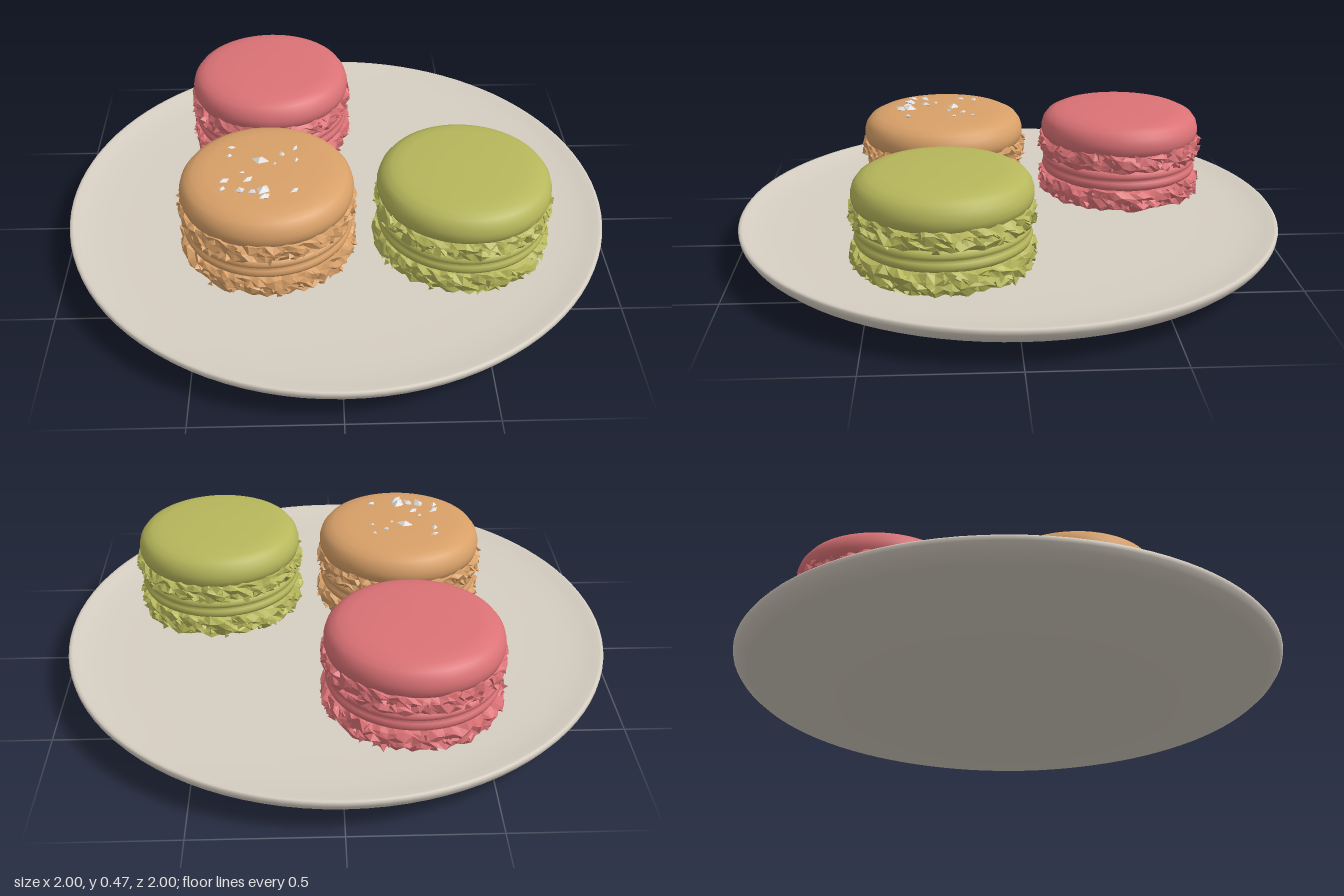
import * as THREE from 'three';
import { mergeGeometries } from 'three/addons/utils/BufferGeometryUtils.js';

const material = (name, color) => {
  const m = new THREE.MeshStandardMaterial({ color });
  m.name = name;
  return m;
};

// Repeatable pseudo-random value in 0..1
const hash = (a, b, c) => {
  const s = Math.sin(a * 127.1 + b * 311.7 + c * 74.7) * 43758.5453;
  return s - Math.floor(s);
};

const lathe = (points, segments) =>
  new THREE.LatheGeometry(points.map(([r, y]) => new THREE.Vector2(r, y)), segments);

// Faceted normals
const faceted = (geometry) => {
  const g = geometry.index ? geometry.toNonIndexed() : geometry;
  g.computeVertexNormals();
  return g;
};

function addMesh(parent, name, geometry, mat) {
  const mesh = new THREE.Mesh(geometry, mat);
  mesh.name = name;
  parent.add(mesh);
  return mesh;
}

// Ragged ring: a lathed band with shaken vertices plus loose crumbs
function ruffleGeometry(y0, y1, seed) {
  const n = 72, h = y1 - y0;
  const profile = [[0.27, y0], [0.298, y0 + h * 0.08], [0.31, y0 + h * 0.3], [0.308, y0 + h * 0.5],
    [0.311, y0 + h * 0.72], [0.302, y0 + h * 0.93], [0.27, y1]];
  const ring = lathe(profile, n);
  const p = ring.attributes.position, rows = profile.length;
  for (let k = 0; k < p.count; k++) {
    const i = Math.floor(k / rows) % n, j = k % rows;
    if (j === 0 || j === rows - 1) continue;
    const s = 1 + (hash(i, j, seed) - 0.5) * 0.07;
    p.setXYZ(k, p.getX(k) * s, p.getY(k) + (hash(i, j, seed + 9) - 0.5) * h * 0.25, p.getZ(k) * s);
  }
  const parts = [faceted(ring)];
  for (let i = 0; i < 70; i++) {
    const a = (i + hash(i, 1, seed)) / 70 * Math.PI * 2;
    const crumb = new THREE.TetrahedronGeometry(0.011 + 0.01 * hash(i, 2, seed));
    crumb.rotateX(hash(i, 3, seed) * 6).rotateY(hash(i, 4, seed) * 6);
    const r = 0.303 + 0.008 * hash(i, 5, seed);
    crumb.translate(Math.sin(a) * r, y0 + h * (0.15 + 0.7 * hash(i, 6, seed)), Math.cos(a) * r);
    parts.push(faceted(crumb));
  }
  return mergeGeometries(parts);
}

function makeMacaron(name, mat, x, z, seed) {
  const g = new THREE.Group();
  g.name = name;
  g.position.set(x, 0, z);
  // Domed top shell
  addMesh(g, 'topShell', lathe([[0, 0.325], [0.285, 0.33], [0.3, 0.345], [0.306, 0.365], [0.306, 0.385],
    [0.299, 0.409], [0.283, 0.43], [0.255, 0.444], [0.21, 0.452], [0.1, 0.456], [0, 0.457]], 64), mat);
  addMesh(g, 'topRuffle', ruffleGeometry(0.272, 0.352, seed), mat);
  // Filling squeezed between the shells, in two soft layers
  addMesh(g, 'filling', lathe([[0, 0.195], [0.28, 0.2], [0.297, 0.212], [0.302, 0.225], [0.298, 0.238],
    [0.29, 0.245], [0.298, 0.252], [0.3, 0.264], [0.293, 0.276], [0.275, 0.284], [0, 0.285]], 64), mat);
  addMesh(g, 'bottomRuffle', ruffleGeometry(0.122, 0.21, seed + 20), mat);
  return g;
}

export function createModel() {
  const model = new THREE.Group();
  model.name = 'macaronPlate';
  const ceramic = material('ceramic', 0xd6cec2);
  const caramel = material('caramel', 0xd8a068);
  const pistachio = material('pistachio', 0xb7b75c);
  const raspberry = material('raspberry', 0xdb7276);
  const saltWhite = material('saltWhite', 0xdedede);

  // Shallow plate with a flat foot and a rounded rim
  addMesh(model, 'plate', lathe([[0, 0.008], [0.52, 0.008], [0.58, 0.001], [0.62, 0], [0.66, 0.012], [0.72, 0.027],
    [0.94, 0.072], [0.962, 0.08], [0.985, 0.1], [0.998, 0.12], [1, 0.133], [0.995, 0.14], [0.985, 0.14],
    [0.96, 0.135], [0.92, 0.128], [0.85, 0.123], [0.7, 0.12], [0, 0.12]], 96), ceramic);

  const salted = makeMacaron('caramelMacaron', caramel, -0.25, 0.24, 1);
  model.add(salted,
    makeMacaron('pistachioMacaron', pistachio, 0.444, 0.24, 2),
    makeMacaron('raspberryMacaron', raspberry, -0.25, -0.452, 3));

  // Salt flakes on the caramel shell: x, z, size
  const flakes = [[-0.02, -0.04, 0.034], [-0.085, 0.13, 0.028], [-0.005, 0.13, 0.036], [-0.045, 0.14, 0.024],
    [-0.14, 0.075, 0.022], [-0.13, -0.07, 0.016], [0.1, -0.11, 0.014], [-0.125, -0.12, 0.016],
    [0.055, -0.075, 0.016], [0.1, 0.135, 0.018], [0, 0.165, 0.026], [-0.06, 0.07, 0.022],
    [-0.145, 0.12, 0.018], [0.105, -0.04, 0.012], [0.03, -0.02, 0.01], [-0.08, 0.03, 0.012]];
  const flakeParts = flakes.map(([x, z, size], i) => {
    const f = new THREE.OctahedronGeometry(size);
    f.scale(1, 0.4, 0.65).rotateZ((hash(i, 1, 5) - 0.5) * 0.6).rotateY(hash(i, 2, 5) * 6);
    f.translate(x, 0.457, z);
    return faceted(f);
  });
  addMesh(salted, 'saltFlakes', mergeGeometries(flakeParts), saltWhite);
  return model;
}
